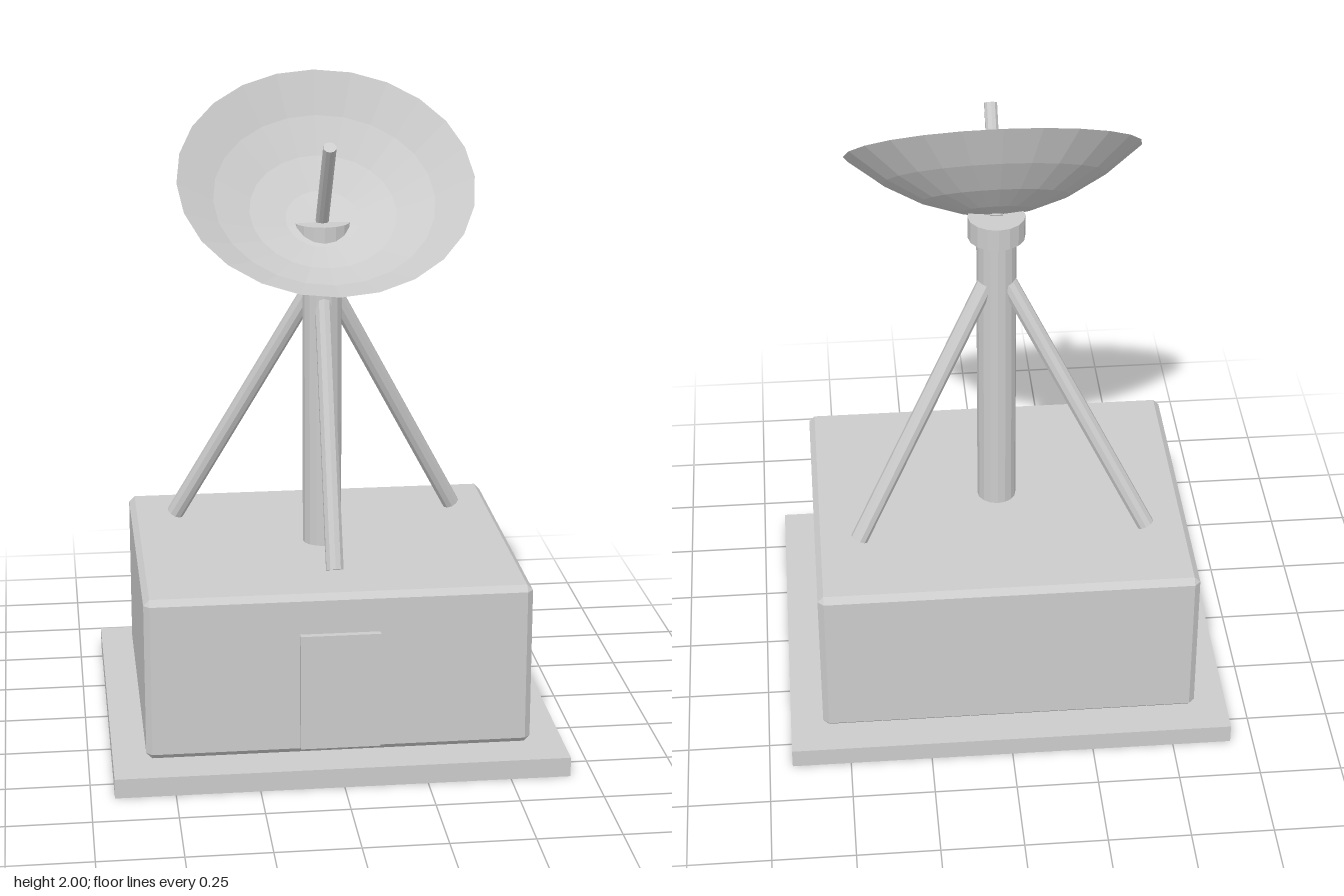
import * as THREE from 'three';
import { ConvexGeometry } from 'three/addons/geometries/ConvexGeometry.js';

const material = new THREE.MeshStandardMaterial({ color: 0xcccccc, flatShading: true });
const dishMaterial = new THREE.MeshStandardMaterial({ color: 0xcccccc, flatShading: true, side: THREE.DoubleSide });
const UP = new THREE.Vector3(0, 1, 0);

function add(parent, name, geometry, x = 0, y = 0, z = 0, mat = material) {
  const mesh = new THREE.Mesh(geometry, mat);
  mesh.name = name;
  mesh.position.set(x, y, z);
  parent.add(mesh);
  return mesh;
}

// Round bar between two points
function bar(parent, name, from, to, radius, sides) {
  const a = new THREE.Vector3(...from);
  const b = new THREE.Vector3(...to);
  const dir = b.clone().sub(a);
  const mid = a.clone().add(b).multiplyScalar(0.5);
  const mesh = add(parent, name, new THREE.CylinderGeometry(radius, radius, dir.length(), sides), mid.x, mid.y, mid.z);
  mesh.quaternion.setFromUnitVectors(UP, dir.normalize());
  return mesh;
}

// Box with every edge cut by a flat chamfer
function chamferBox(w, h, d, c) {
  const points = [];
  for (const sx of [-1, 1]) for (const sy of [-1, 1]) for (const sz of [-1, 1]) {
    const [x, y, z] = [sx * w / 2, sy * h / 2, sz * d / 2];
    points.push(
      new THREE.Vector3(x, y - sy * c, z - sz * c),
      new THREE.Vector3(x - sx * c, y, z - sz * c),
      new THREE.Vector3(x - sx * c, y - sy * c, z));
  }
  return new ConvexGeometry(points);
}

export function createModel() {
  const model = new THREE.Group();
  model.name = 'dishStation';

  // Building
  add(model, 'groundSlab', new THREE.BoxGeometry(1.36, 0.06, 1.2), 0, 0.03, 0);
  add(model, 'building', chamferBox(1.16, 0.505, 0.98, 0.018), 0, 0.3125, -0.01);
  add(model, 'door', new THREE.BoxGeometry(0.24, 0.36, 0.03), 0, 0.263, 0.485);

  // Mast and collar
  add(model, 'mast', new THREE.CylinderGeometry(0.06, 0.06, 0.98, 16), 0, 1.05, 0);
  add(model, 'collar', new THREE.CylinderGeometry(0.086, 0.086, 0.07, 16), 0, 1.545, 0);

  // Three braces
  bar(model, 'frontBrace', [0, 0.59, 0.34], [0, 1.345, 0.035], 0.027, 10);
  for (const side of [1, -1]) {
    bar(model, side > 0 ? 'leftBrace' : 'rightBrace',
      [side * 0.443, 0.59, -0.238], [side * 0.035, 1.36, -0.025], 0.027, 10);
  }

  // Tilted dish: shallow bowl with its apex at the group origin, facing local +y
  const antenna = new THREE.Group();
  antenna.name = 'antenna';
  antenna.position.set(0, 1.581, 0.003);
  antenna.rotation.x = Math.atan2(0.705, 0.535) - Math.PI / 2 + 2 * Math.atan2(0.535, 0.705) - Math.atan2(0.535, 0.705) + Math.atan2(0.535, 0.705);
  model.add(antenna);

  const rimRadius = 0.4425, depth = 0.19, rings = 4;
  const profile = [];
  for (let i = 0; i <= rings; i++) {
    const t = i / rings;
    profile.push(new THREE.Vector2(rimRadius * t, depth * t * t));
  }
  add(antenna, 'dish', new THREE.LatheGeometry(profile, 24), 0, 0, 0, dishMaterial);
  add(antenna, 'feedRod', new THREE.CylinderGeometry(0.02, 0.02, 0.335, 10), 0, 0.165, 0);

  return model;
}
